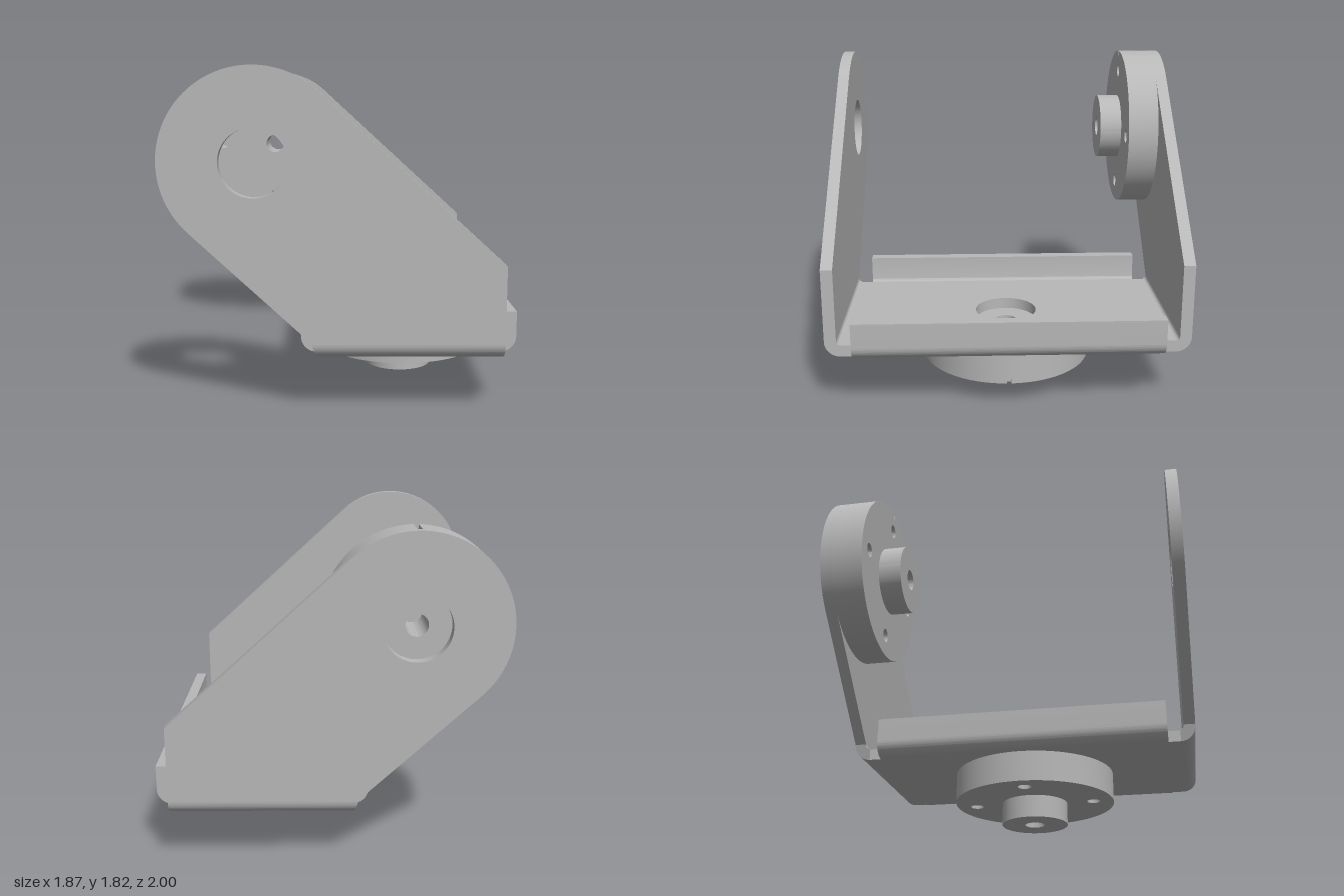
import * as THREE from 'three';
import { toCreasedNormals } from 'three/addons/utils/BufferGeometryUtils.js';

const metal = new THREE.MeshStandardMaterial({ color: 0xb8b8b8 });
metal.name = 'grey metal';

const T = 0.065;                    // sheet thickness
const R = 0.085;                    // outer bend radius
const BASE = 0.31;                  // underside of the base plate
const X0 = -0.135, X1 = 0.845;      // base plate ends
const PIVOT = [-0.45, 1.333];       // arm pivot
const DISC = 0.487;                 // disc and arm end radius

const extrude = (shape, depth) =>
  new THREE.ExtrudeGeometry(shape, { depth, bevelEnabled: false, curveSegments: 64 });

function mesh(name, geometry) {
  const m = new THREE.Mesh(toCreasedNormals(geometry, 0.4), metal);
  m.name = name;
  return m;
}

function addHole(shape, x, y, r) {
  const p = new THREE.Path();
  p.absarc(x, y, r, 0, Math.PI * 2, true);
  shape.holes.push(p);
}

// Rounded sheet bend that turns upward to height h
function bendShape(h) {
  const s = new THREE.Shape();
  s.moveTo(0, 0);
  s.absarc(0, R, R, -Math.PI / 2, 0, false);
  s.lineTo(R, h);
  s.lineTo(R - T, h);
  s.absarc(0, R, R - T, 0, -Math.PI / 2, true);
  return s;
}

// Slanted side arm with a round end and pivot hole
function armGeometry() {
  const s = new THREE.Shape();
  const a = THREE.MathUtils.degToRad(47.2);
  s.moveTo(-0.16, 0.4);
  s.lineTo(X1, 0.4);
  s.lineTo(X1, 0.805);
  s.absarc(PIVOT[0], PIVOT[1], DISC, a, a + Math.PI, false);
  addHole(s, ...PIVOT, 0.178);
  return extrude(s, T);
}

// Bend joining an arm to the base, tapered at its left end
function armBendGeometry(side) {
  const g = extrude(bendShape(0.09), X1 - X0);
  g.rotateY(-side * Math.PI / 2);
  g.translate(side > 0 ? X1 : X0, BASE, side * (1 - R));
  const p = g.attributes.position;
  for (let i = 0; i < p.count; i++) {
    if (p.getX(i) < 0) p.setX(i, p.getX(i) - 0.025 * (p.getY(i) - BASE) / 0.09);
  }
  return g;
}

// Notched disc with bolt holes and a hub, pointing along +z
function servoDisc(name) {
  const g = new THREE.Group();
  g.name = name;
  const w = 0.013, a = w / DISC;
  const s = new THREE.Shape();
  s.moveTo(w, DISC - 0.03);
  s.lineTo(-w, DISC - 0.03);
  s.absarc(0, 0, DISC, Math.PI / 2 + a, Math.PI * 2.5 - a, false);
  addHole(s, 0, 0, 0.06);
  for (let i = 0; i < 4; i++) {
    const t = i * Math.PI / 2;
    addHole(s, 0.365 * Math.cos(t), 0.365 * Math.sin(t), 0.04);
  }
  g.add(mesh('disc', extrude(s, 0.178)));

  const h = new THREE.Shape();
  h.absarc(0, 0, 0.2, 0, Math.PI * 2, false);
  addHole(h, 0, 0, 0.06);
  const hub = mesh('hub', extrude(h, 0.132));
  hub.position.z = 0.178;
  g.add(hub);
  return g;
}

export function createModel() {
  const model = new THREE.Group();
  model.name = 'bracket';

  // Base plate
  const b = new THREE.Shape();
  const zb = 1 - R;
  b.moveTo(X0, -zb);
  b.lineTo(X1, -zb);
  b.lineTo(X1, zb);
  b.lineTo(X0, zb);
  addHole(b, 0.355, 0, 0.178);
  const base = mesh('basePlate', extrude(b, T).rotateX(-Math.PI / 2));
  base.position.y = BASE;
  model.add(base);

  // Upturned lips at both ends
  for (const side of [1, -1]) {
    const g = extrude(bendShape(0.22), 1.69).translate(0, 0, -0.845);
    if (side < 0) g.rotateY(Math.PI);
    const lip = mesh(side > 0 ? 'leftLip' : 'rightLip', g);
    lip.position.set(side > 0 ? X1 : X0, BASE, 0);
    model.add(lip);
  }

  // Front and back arms
  for (const side of [1, -1]) {
    const prefix = side > 0 ? 'front' : 'back';
    const arm = mesh(prefix + 'Arm', armGeometry());
    arm.position.z = side > 0 ? 1 - T : -1;
    model.add(arm, mesh(prefix + 'ArmBend', armBendGeometry(side)));
  }

  // Disc inside the back arm
  const upper = servoDisc('armDisc');
  upper.position.set(PIVOT[0], PIVOT[1], -1 + T);
  model.add(upper);

  // Disc below the base
  const lower = servoDisc('baseDisc');
  lower.rotation.set(Math.PI / 2, 0, -Math.PI / 2);
  lower.position.set(0.355, BASE, 0);
  model.add(lower);

  return model;
}
